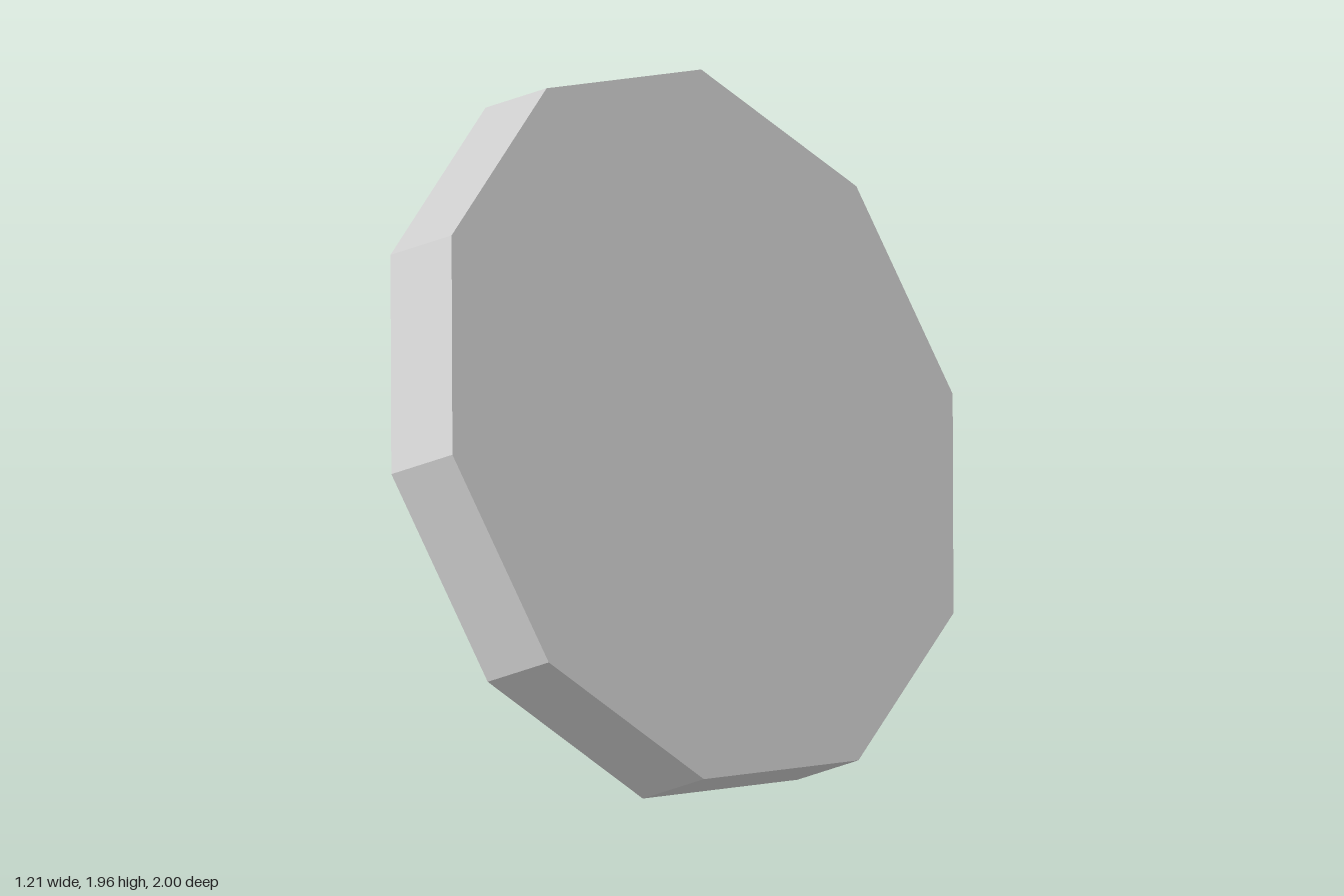
import * as THREE from 'three';

const SIDES = 10;
const RADIUS = 1.044;
const BAND = 0.24;   // thickness of the straight rim
const DOME = 0.38;   // bulge behind the rim

export function createModel() {
  const grey = new THREE.MeshStandardMaterial({ color: 0xcccccc, flatShading: true });
  grey.name = 'light grey';

  const model = new THREE.Group();
  model.name = 'domedDisc';

  // Ten-sided turned part from [radius, height] pairs, bottom to top
  const turned = (name, profile) => {
    const points = profile.map(([r, y]) => new THREE.Vector2(r, y));
    const mesh = new THREE.Mesh(new THREE.LatheGeometry(points, SIDES), grey);
    mesh.name = name;
    model.add(mesh);
  };

  // Shallow parabolic back, pole to rim
  const rings = [0, 0.12, 0.34, 0.56, 0.78, 1];
  turned('domedBack', rings.map(t => [RADIUS * t, -BAND - DOME * (1 - t * t)]));

  // Straight rim band
  turned('rimBand', [[RADIUS, -BAND], [RADIUS, 0]]);

  // Flat front face
  turned('flatFace', [[RADIUS, 0], [0, 0]]);

  // Tilt: local y is the face normal, local z points to the topmost corner
  const normal = new THREE.Vector3(0.87, 0.463, 0.167).normalize();
  const side = new THREE.Vector3().crossVectors(normal, new THREE.Vector3(-0.466, 0.883, -0.01)).normalize();
  const corner = new THREE.Vector3().crossVectors(side, normal);
  model.quaternion.setFromRotationMatrix(new THREE.Matrix4().makeBasis(side, normal, corner));
  model.position.set(0.115, 1.033, 0.018);

  const root = new THREE.Group();
  root.name = 'model';
  root.add(model);
  return root;
}
